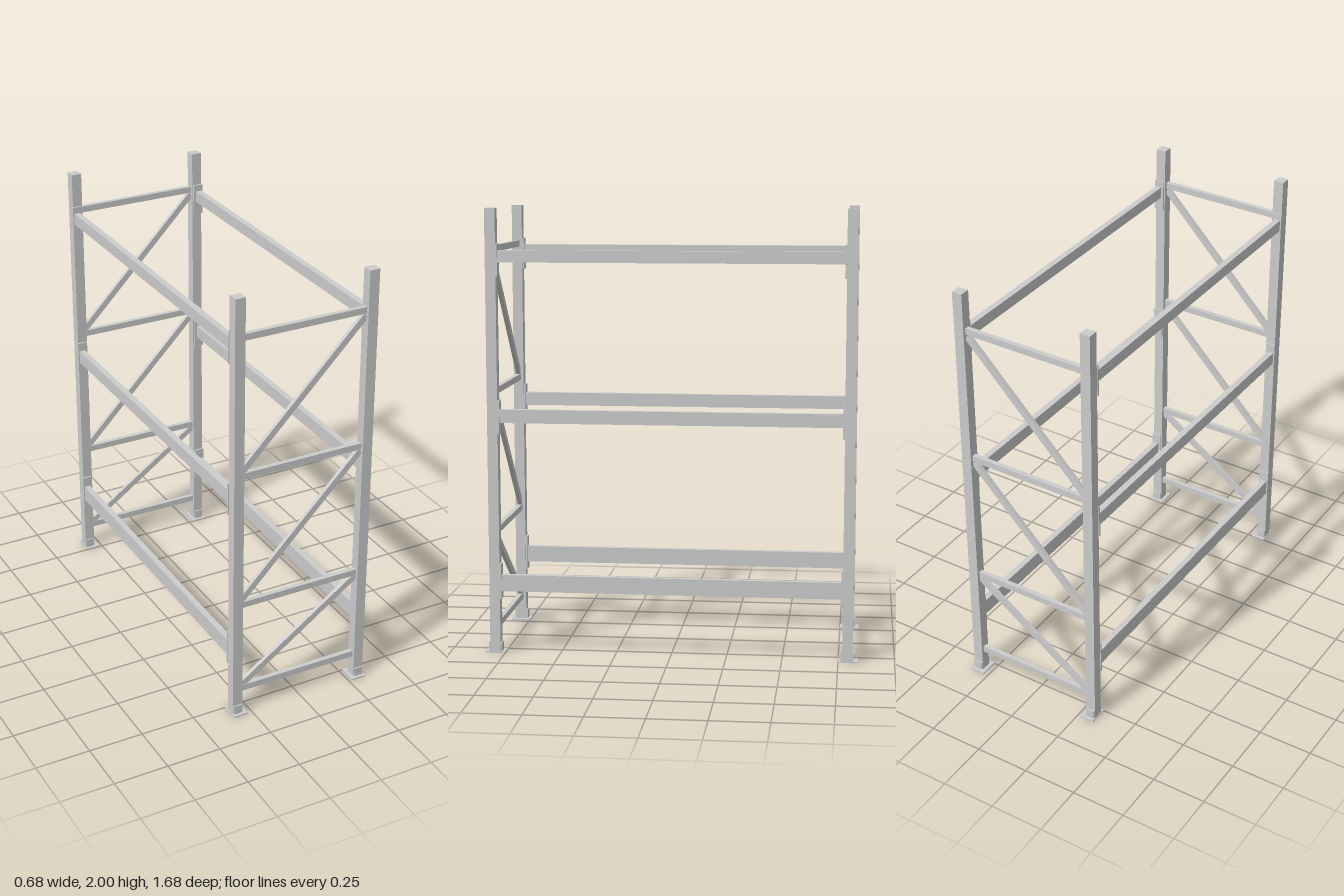
import * as THREE from 'three';

const POST_X = 0.31, POST_Z = 0.793, POST_W = 0.047;

export function createModel() {
  const model = new THREE.Group();
  model.name = 'palletRack';
  const rack = new THREE.Group();
  rack.name = 'rack';
  rack.rotation.y = -0.004; // the rack stands very slightly turned
  model.add(rack);
  const material = new THREE.MeshStandardMaterial({ color: 0xcccccc, flatShading: true });

  const box = (name, w, h, d, x, y, z, parent) => {
    const mesh = new THREE.Mesh(new THREE.BoxGeometry(w, h, d), material);
    mesh.name = name;
    mesh.position.set(x, y, z);
    parent.add(mesh);
    return mesh;
  };

  // Two braced end frames
  for (const sz of [1, -1]) {
    const frame = new THREE.Group();
    frame.name = sz > 0 ? 'frontFrame' : 'backFrame';
    rack.add(frame);
    const z = sz * POST_Z;

    // Uprights with foot plates and low foot brackets
    for (const sx of [1, -1]) {
      box('post', POST_W, 1.996, POST_W, sx * POST_X, 1.002, z, frame);
      box('footPlate', 0.068, 0.006, 0.09, sx * 0.303, 0.003, z, frame);
      box('footBracket', 0.04, 0.045, 0.06, sx * POST_X, 0.0245, z, frame);
    }

    // Horizontal struts
    for (const y of [0.12, 0.555, 1.187, 1.82]) {
      box('strut', 0.58, 0.029, 0.022, 0, y, z, frame);
    }

    // Diagonal braces, all rising toward +x
    for (const [y0, y1] of [[0.135, 0.535], [0.58, 1.165], [1.21, 1.795]]) {
      const dx = 0.57, dy = y1 - y0;
      const brace = box('diagonalBrace', Math.hypot(dx, dy), 0.029, 0.018, 0, (y0 + y1) / 2, z, frame);
      brace.rotation.z = Math.atan2(dy, dx);
    }
  }

  // Load beams on both long sides: bottom and top of beam, then of its end plates
  const levels = [
    [0.285, 0.36, 0.25, 0.41],
    [1.05, 1.11, 1.0, 1.15],
    [1.762, 1.815, 1.7, 1.845],
  ];
  const inner = POST_Z - POST_W / 2;
  for (const sx of [1, -1]) {
    for (const [y0, y1, p0, p1] of levels) {
      const level = new THREE.Group();
      level.name = sx > 0 ? 'leftBeam' : 'rightBeam';
      rack.add(level);
      box('beam', 0.028, y1 - y0, inner * 2, sx * 0.317, (y0 + y1) / 2, 0, level);
      for (const sz of [1, -1]) {
        box('endPlate', 0.046, p1 - p0, 0.008, sx * 0.314, (p0 + p1) / 2, sz * (inner - 0.004), level);
      }
    }
  }
  return model;
}
